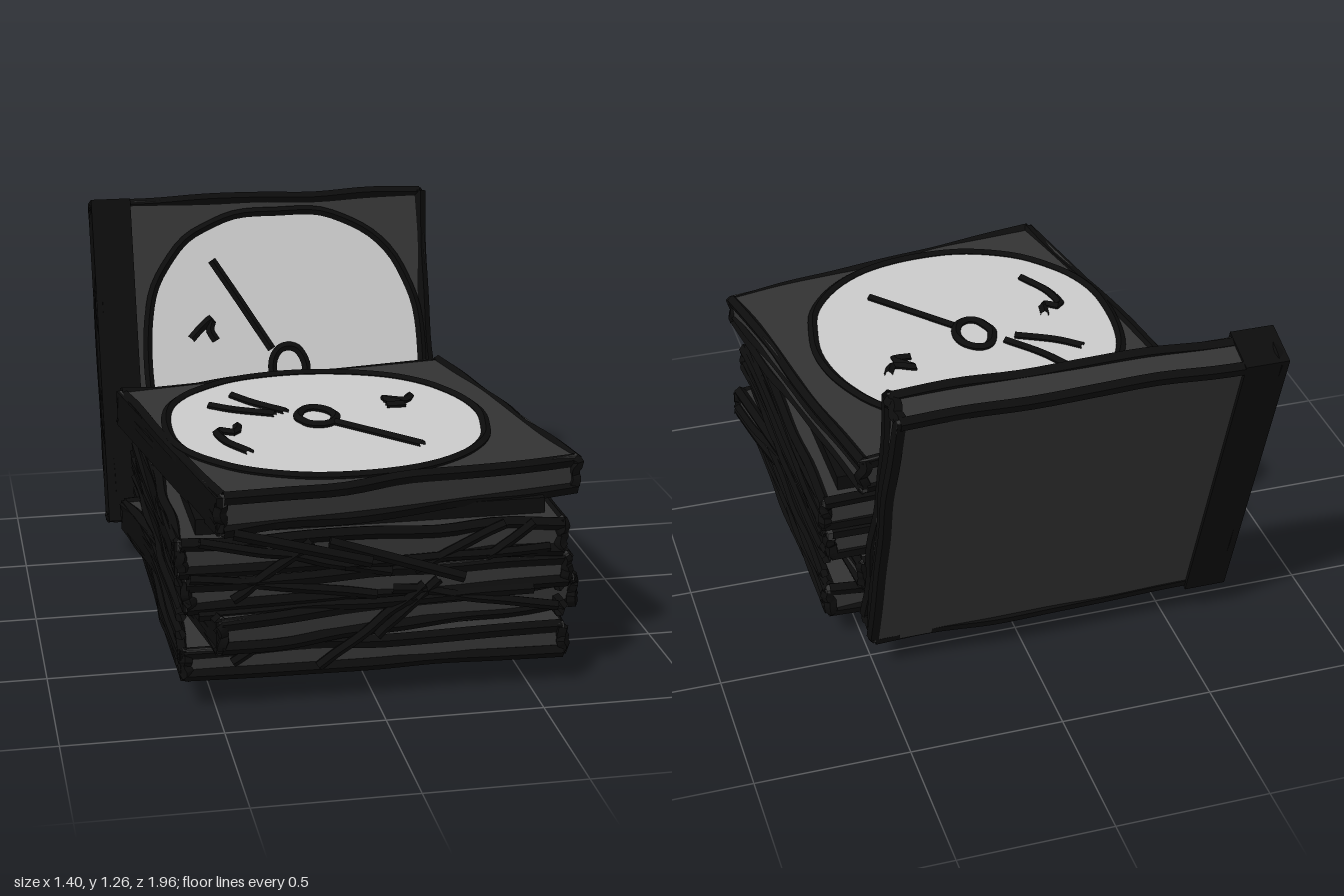
import * as THREE from 'three';

const mat = (color) => new THREE.MeshStandardMaterial({ color, flatShading: true, side: THREE.DoubleSide });
const caseMat = mat(0x333333);
const inkMat = mat(0x0c0c0c);
const discMat = mat(0xcccccc);

export function createModel() {
  const model = new THREE.Group();
  model.name = 'discCaseStack';

  // small seeded generator for the hand-drawn wobble
  let seed = 7;
  const wobble = (a) => {
    seed = (seed * 16807) % 2147483647;
    return (seed / 2147483647 - 0.5) * 2 * a;
  };

  const add = (parent, name, geometry, material, x = 0, y = 0, z = 0) => {
    const mesh = new THREE.Mesh(geometry, material);
    mesh.name = name;
    mesh.position.set(x, y, z);
    parent.add(mesh);
    return mesh;
  };

  // ink stroke through a few points
  const stroke = (parent, name, points, r = 0.018, closed = false) => {
    const curve = new THREE.CatmullRomCurve3(points.map((p) => new THREE.Vector3(...p)), closed, 'centripetal');
    const tube = new THREE.TubeGeometry(curve, Math.max(6, points.length * 3), r, 5, closed);
    return add(parent, name, tube, inkMat);
  };

  // uneven line between two corners
  const edge = (parent, a, b, r = 0.022, jitter = 0.007) => {
    const points = [];
    for (let i = 0; i <= 6; i++) {
      points.push(a.map((v, k) => v + (b[k] - v) * i / 6 + wobble(jitter)));
    }
    stroke(parent, 'edgeStroke', points, r);
  };

  // flat case with inked edges; y is its thickness
  const discCase = (name, w, h, d) => {
    const g = new THREE.Group();
    g.name = name;
    add(g, 'caseBody', new THREE.BoxGeometry(w, h, d), caseMat);
    const X = w / 2 - 0.008, Y = h / 2 - 0.012, Z = d / 2 - 0.008;
    for (const s of [-1, 1]) {
      for (const t of [-1, 1]) {
        edge(g, [-X, s * Y, t * Z], [X, s * Y, t * Z]);
        edge(g, [s * X, t * Y, -Z], [s * X, t * Y, Z]);
        edge(g, [s * X, -Y, t * Z], [s * X, Y, t * Z]);
      }
      // extra scribbles along the side walls
      edge(g, [s * X, 0.02, -Z], [s * X, -0.015, Z], 0.02);
    }
    add(g, 'spine', new THREE.BoxGeometry(0.02, h, d), inkMat, -w / 2);
    model.add(g);
    return g;
  };

  // disc face in the x-z plane with its inked rim and hub ring
  const oval = (cx, cz, rx, rz, n, power, y, jitter) => {
    const points = [];
    for (let i = 0; i < n; i++) {
      const a = i / n * Math.PI * 2, c = Math.cos(a), s = Math.sin(a);
      points.push([
        cx + rx * Math.sign(c) * Math.abs(c) ** (2 / power) + wobble(jitter), y,
        cz + rz * Math.sign(s) * Math.abs(s) ** (2 / power) + wobble(jitter)]);
    }
    return points;
  };
  const discFace = (parent, cx, cz, rx, rz, power, hub) => {
    const rim = oval(cx, cz, rx, rz, 28, power, 0.006, 0.004);
    const shape = new THREE.Shape(rim.map(([x, , z]) => new THREE.Vector2(x, -z)));
    add(parent, 'disc', new THREE.ShapeGeometry(shape).rotateX(-Math.PI / 2), discMat, 0, 0.008, 0);
    stroke(parent, 'discRim', rim, 0.017, true);
    stroke(parent, 'hubRing', oval(...hub, 12, 2, 0.012, 0.003), 0.017, true);
  };
  const marks = (parent, list) => list.forEach((line) =>
    stroke(parent, 'discMark', line.map(([x, z]) => [x, 0.012, z]), 0.016));

  // stack of five, the second and the top one turned
  const layers = [
    [0.16, 0.005, 0.22, 0.10, 0],
    [0.275, 0, 0.24, 0.105, 0.15],
    [0.392, 0.005, 0.225, 0.10, 0.015],
    [0.51, 0, 0.22, 0.11, -0.01],
    [0.665, 0, 0.235, 0.12, 0.16],
  ];
  layers.forEach(([y, x, z, h, turn], i) => {
    const turned = turn > 0.1;
    const g = discCase('stackedCase' + (i + 1), turned ? 1.18 : 1.21, h, turned ? 1.15 : 1.21);
    g.position.set(x, y, z);
    g.rotation.y = turn;
  });
  // dark filler between the upper cases
  add(model, 'caseGap', new THREE.BoxGeometry(1.1, 0.06, 1.1), inkMat, 0, 0.585, 0.22);

  // disc on the top case
  const topFace = new THREE.Group();
  topFace.name = 'topDisc';
  topFace.position.y = 0.722;
  model.add(topFace);
  discFace(topFace, -0.05, 0.235, 0.52, 0.545, 2.15, [-0.07, 0.2, 0.06, 0.09]);
  marks(topFace, [
    [[-0.02, 0.27], [0.21, 0.54]],
    [[-0.31, -0.08], [-0.25, 0.02], [-0.16, 0.13]],
    [[-0.4, 0.02], [-0.33, 0.08], [-0.2, 0.15]],
    [[0.18, 0.12], [0.24, 0.12], [0.18, 0.05], [0.25, 0.08], [0.28, 0.03]],
    [[-0.34, 0.25], [-0.36, 0.32], [-0.41, 0.29], [-0.4, 0.4], [-0.34, 0.52]],
  ]);

  // case leaning behind the stack
  const leaning = discCase('leaningCase', 1.2, 0.12, 1.13);
  leaning.position.set(-0.09, 0.69, -0.72);
  leaning.rotation.x = 1.25;
  add(leaning, 'wideSpine', new THREE.BoxGeometry(0.14, 0.145, 1.15), inkMat, -0.54);
  const leanFace = new THREE.Group();
  leanFace.name = 'leaningDisc';
  leanFace.position.set(0.09, 0.062, 0);
  leaning.add(leanFace);
  discFace(leanFace, -0.03, 0.02, 0.5, 0.53, 2.5, [-0.02, 0.06, 0.06, 0.08]);
  marks(leanFace, [
    [[-0.28, -0.34], [-0.2, -0.21], [-0.08, -0.01]],
    [[-0.37, -0.06], [-0.33, -0.1], [-0.29, -0.13], [-0.3, -0.09], [-0.28, -0.05]],
  ]);

  // loose scribbled lines across the front
  const scribbles = [
    [-0.45, 0.17, -0.2, 0.32], [-0.18, 0.13, 0.15, 0.38], [0, 0.22, 0.2, 0.4],
    [-0.45, 0.37, -0.2, 0.55], [0.12, 0.43, 0.4, 0.57], [0.35, 0.46, 0.5, 0.56],
    [-0.55, 0.57, 0.05, 0.43], [-0.58, 0.45, 0.0, 0.36], [0.05, 0.38, 0.58, 0.28],
    [-0.1, 0.46, 0.55, 0.48], [-0.55, 0.33, 0.5, 0.34],
  ];
  for (const [x1, y1, x2, y2] of scribbles) edge(model, [x1, y1, 0.84], [x2, y2, 0.84], 0.017, 0.004);

  // lines that stick out of the stack
  [
    [[-0.45, 0.61, 0.9], [-0.04, 0.52, 0.97]],
    [[-0.15, 0.55, 0.86], [0.26, 0.43, 0.92]],
    [[-0.6, 0.1, 0.35], [-0.2, 0.022, 0.43]],
    [[0.58, 0.16, 0.66], [0.585, 0.065, 0.67]],
    [[-0.62, 0.46, -0.34], [-0.5, 0.48, -0.45]],
    [[-0.2, 0.2, -0.37], [0.07, 0.18, -0.44]],
  ].forEach((points) => stroke(model, 'looseStroke', points, 0.019));

  // scribbled lines down both flanks
  for (const side of [-1, 1]) {
    for (let i = 0; i < 8; i++) {
      const y = 0.15 + i * 0.055;
      edge(model, [side * 0.605, y, -0.36], [side * 0.605, y + wobble(0.05), 0.8], 0.018, 0.008);
    }
  }
  return model;
}
